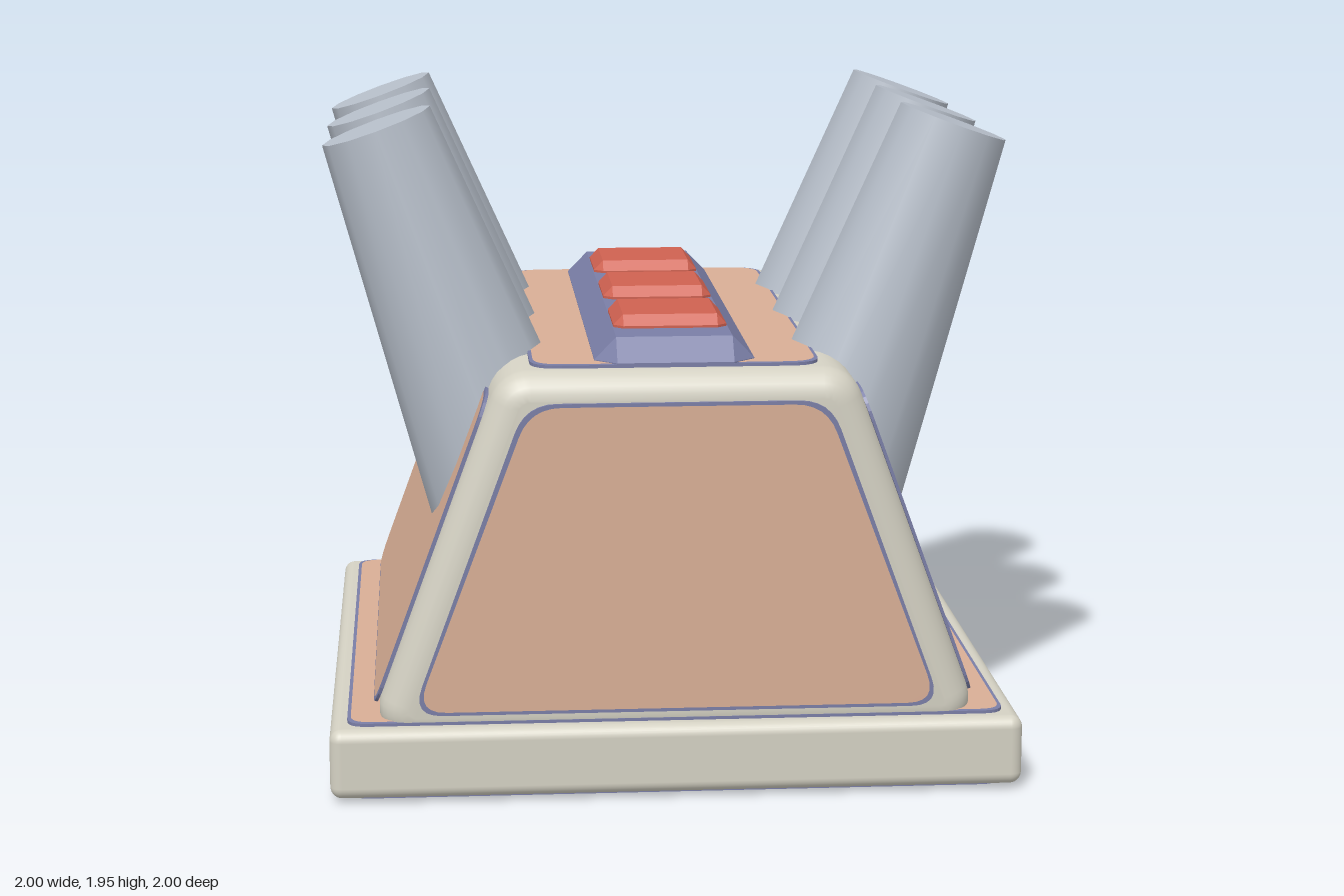
import * as THREE from 'three';
import { toCreasedNormals } from 'three/addons/utils/BufferGeometryUtils.js';
import { RoundedBoxGeometry } from 'three/addons/geometries/RoundedBoxGeometry.js';
import { ConvexGeometry } from 'three/addons/geometries/ConvexGeometry.js';

const material = (name, color) => {
  const m = new THREE.MeshStandardMaterial({ color });
  m.name = name;
  return m;
};

// Symmetric trapezoid with rounded corners, centred on the origin
function trapezoid(bottom, top, height, r, inset = 0) {
  const dx = bottom === top ? inset : inset * 1.2;
  const h = height / 2 - inset;
  const b = bottom - dx, t = top - dx;
  const pts = [[-b, -h], [b, -h], [t, h], [-t, h]].map(([x, y]) => new THREE.Vector2(x, y));
  const shape = new THREE.Shape();
  pts.forEach((p, i) => {
    const toward = (q) => q.clone().sub(p).setLength(r).add(p);
    const a = toward(pts[(i + 3) % 4]), c = toward(pts[(i + 1) % 4]);
    if (i === 0) shape.moveTo(a.x, a.y);
    else shape.lineTo(a.x, a.y);
    shape.quadraticCurveTo(p.x, p.y, c.x, c.y);
  });
  shape.closePath();
  return shape;
}

// Block whose top and upright edges are chamfered
function chamferBlock(hx, hz, y0, y1, y2, c) {
  const pts = [];
  for (const sx of [-1, 1]) for (const sz of [-1, 1]) {
    for (const y of [y0, y1]) {
      pts.push(new THREE.Vector3(sx * hx, y, sz * (hz - c)));
      pts.push(new THREE.Vector3(sx * (hx - c), y, sz * hz));
    }
    pts.push(new THREE.Vector3(sx * (hx - c), y2, sz * (hz - c)));
  }
  return new ConvexGeometry(pts);
}

export function createModel() {
  const cream = material('cream', 0xd4d1c3);
  const peach = material('peach', 0xd8ae95);
  const blue = material('slate blue', 0x7a7ea6);
  const red = material('red', 0xcf6150);
  const steel = material('steel', 0xb6bec9);

  const model = new THREE.Group();
  const add = (name, geometry, mat, parent = model) => {
    const mesh = new THREE.Mesh(geometry, mat);
    mesh.name = name;
    parent.add(mesh);
    return mesh;
  };

  // Thin peach plate with a narrow blue rim, facing local +z
  const panel = (name, bottom, top, height, r) => {
    const g = new THREE.Group();
    g.name = name;
    const rim = new THREE.ExtrudeGeometry(trapezoid(bottom, top, height, r),
      { depth: 0.009, bevelEnabled: false, curveSegments: 6 });
    add(name + 'Rim', rim, blue, g);
    const face = new THREE.ShapeGeometry(trapezoid(bottom, top, height, r, 0.01), 6);
    add(name + 'Face', face, peach, g).position.z = 0.011;
    model.add(g);
    return g;
  };

  // Base slab with panels above and below
  add('base', new RoundedBoxGeometry(2, 0.205, 2, 4, 0.035), cream).position.y = 0.1175;
  const baseTop = panel('baseTopPanel', 0.95, 0.95, 1.9, 0.06);
  baseTop.position.y = 0.22;
  baseTop.rotation.x = -Math.PI / 2;
  const baseBottom = panel('baseBottomPanel', 0.945, 0.945, 1.89, 0.06);
  baseBottom.position.y = 0.0125;
  baseBottom.rotation.x = Math.PI / 2;

  // Sloped body with softly rounded edges
  const bodyGeo = new THREE.ExtrudeGeometry(trapezoid(0.784, 0.445, 0.92, 0.03), {
    depth: 1.74, bevelSize: 0.08, bevelThickness: 0.08, bevelSegments: 6, curveSegments: 6,
  });
  bodyGeo.translate(0, 0.7, -0.87);
  add('body', toCreasedNormals(bodyGeo, 0.6), cream);

  // Front and back panels
  for (const s of [1, -1]) {
    const p = panel(s > 0 ? 'frontPanel' : 'backPanel', 0.765, 0.432, 0.905, 0.09);
    p.position.set(0, 0.7025, s * 0.95);
    if (s < 0) p.rotation.y = Math.PI;
  }

  // Side panels lying on the slopes
  const slope = Math.atan(0.368);
  for (const s of [1, -1]) {
    const p = panel(s > 0 ? 'leftPanel' : 'rightPanel', 0.87, 0.87, 0.97, 0.09);
    p.position.set(s * 0.699, 0.705, 0);
    p.rotation.set(-slope, s * Math.PI / 2, 0, 'YXZ');
  }

  // Top panel
  const top = panel('topPanel', 0.415, 0.415, 1.74, 0.09);
  top.position.y = 1.24;
  top.rotation.x = -Math.PI / 2;

  // Ridge with three buttons
  add('ridge', chamferBlock(0.23, 0.87, 1.24, 1.253, 1.318, 0.063), blue);
  [-0.51, 0, 0.51].forEach((z) => {
    add('button', chamferBlock(0.165, 0.163, 1.3, 1.325, 1.355, 0.028), red).position.z = z;
  });

  // Tapered tubes leaning outward, three on each side
  const tubeGeo = new THREE.CylinderGeometry(0.166, 0.26, 1.2, 12);
  tubeGeo.translate(0, -0.6, 0);
  for (const s of [1, -1]) for (const z of [-0.51, 0, 0.51]) {
    const tube = add(s > 0 ? 'leftTube' : 'rightTube', tubeGeo, steel);
    tube.position.set(s * 0.844, 1.895, z);
    tube.rotation.z = -s * 0.346;
  }
  return model;
}
